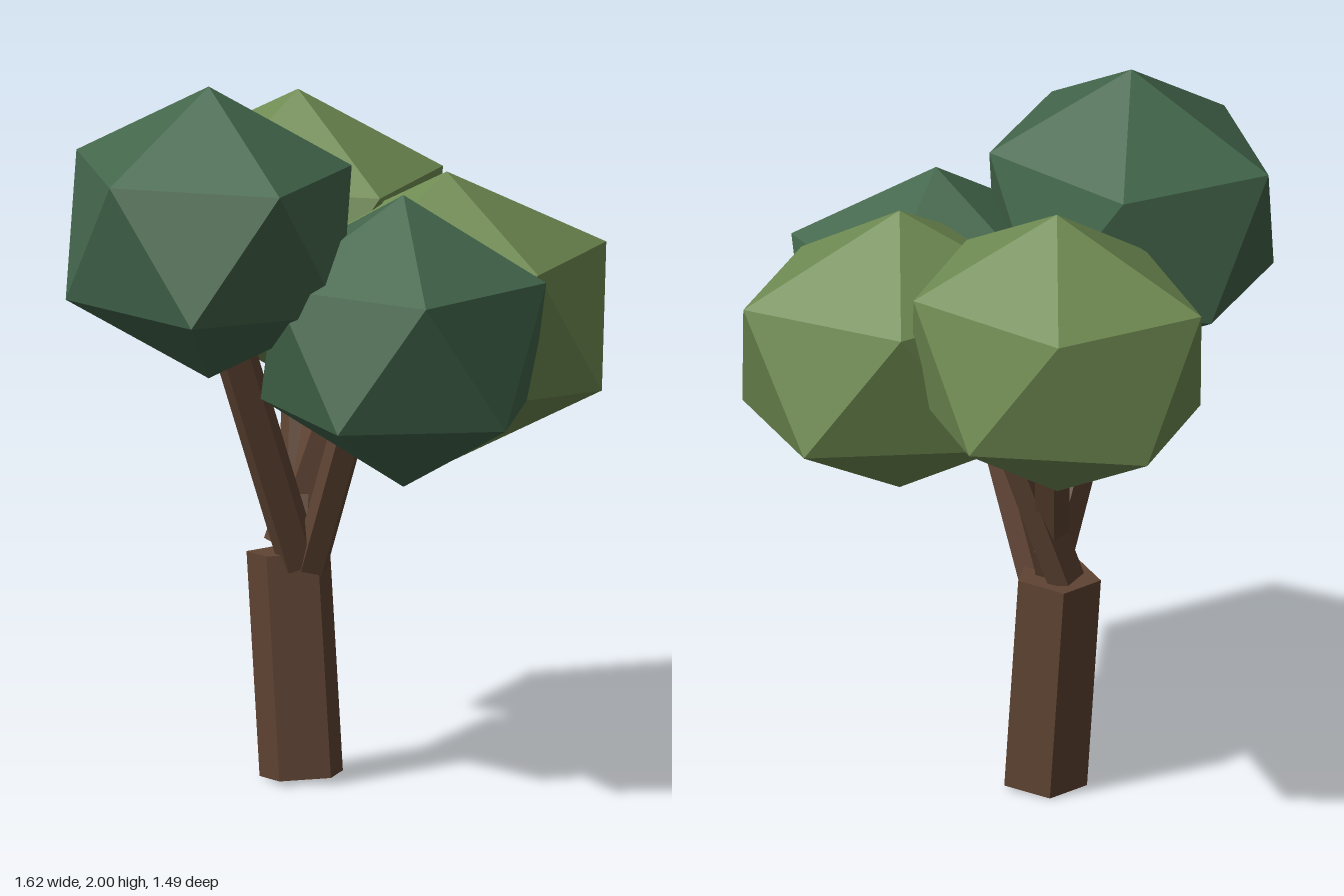
import * as THREE from 'three';
import { ConvexGeometry } from 'three/addons/geometries/ConvexGeometry.js';

const material = (name, color) => {
  const m = new THREE.MeshStandardMaterial({ color, flatShading: true });
  m.name = name;
  return m;
};

export function createModel() {
  const tree = new THREE.Group();
  tree.name = 'tree';
  const bark = material('bark brown', 0x5f4433);
  const darkLeaf = material('dark leaf green', 0x43664b);
  const lightLeaf = material('light leaf green', 0x6f8b52);

  // Five-sided beam between two points, one corner facing +x
  const beam = (name, from, to, radius) => {
    const a = new THREE.Vector3(...from);
    const b = new THREE.Vector3(...to);
    const dir = b.clone().sub(a);
    const geo = new THREE.CylinderGeometry(radius, radius, dir.length(), 5);
    geo.rotateY(Math.PI / 2);
    const mesh = new THREE.Mesh(geo, bark);
    mesh.name = name;
    mesh.position.copy(a).add(b).multiplyScalar(0.5);
    mesh.quaternion.setFromUnitVectors(new THREE.Vector3(0, 1, 0), dir.normalize());
    tree.add(mesh);
  };

  // Stretched icosahedron: u and v are the [x, z] axes of its pentagon rings
  const HALF = 0.41;
  const foliage = (name, mat, center, u, v) => {
    const pts = [new THREE.Vector3(0, HALF, 0), new THREE.Vector3(0, -HALF, 0)];
    for (let k = 0; k < 5; k++) {
      const t = (k * 2 * Math.PI) / 5;
      const c = Math.cos(t), s = Math.sin(t);
      const p = new THREE.Vector3(c * u[0] + s * v[0], HALF * 0.447, c * u[1] + s * v[1]);
      pts.push(p, p.clone().negate());
    }
    const mesh = new THREE.Mesh(new ConvexGeometry(pts), mat);
    mesh.name = name;
    mesh.position.set(...center);
    tree.add(mesh);
  };

  // Leaning trunk and the four branches fanning out of it
  beam('trunk', [-0.05, 0.009, -0.02], [-0.105, 0.632, -0.02], 0.121);
  beam('frontBranch', [-0.04, 0.61, 0], [-0.035, 1.27, 0.25], 0.06);
  beam('leftBranch', [-0.015, 0.6, -0.02], [0.2, 1.15, -0.02], 0.05);
  beam('rightBranch', [-0.08, 0.63, -0.02], [-0.245, 1.13, -0.18], 0.05);
  beam('backBranch', [-0.145, 0.64, -0.03], [-0.07, 1.2, -0.22], 0.055);

  // Crown
  foliage('frontFoliage', darkLeaf, [-0.015, 1.59, 0.35], [0.035, 0.39], [0.45, 0]);
  foliage('leftFoliage', darkLeaf, [0.37, 1.295, -0.025], [-0.442, -0.01], [0.047, 0.412]);
  foliage('rightFoliage', lightLeaf, [-0.37, 1.44, -0.28], [0.05, 0.385], [0.449, -0.037]);
  foliage('backFoliage', lightLeaf, [0.21, 1.295, -0.32], [0.179, -0.425], [-0.364, -0.153]);
  return tree;
}
